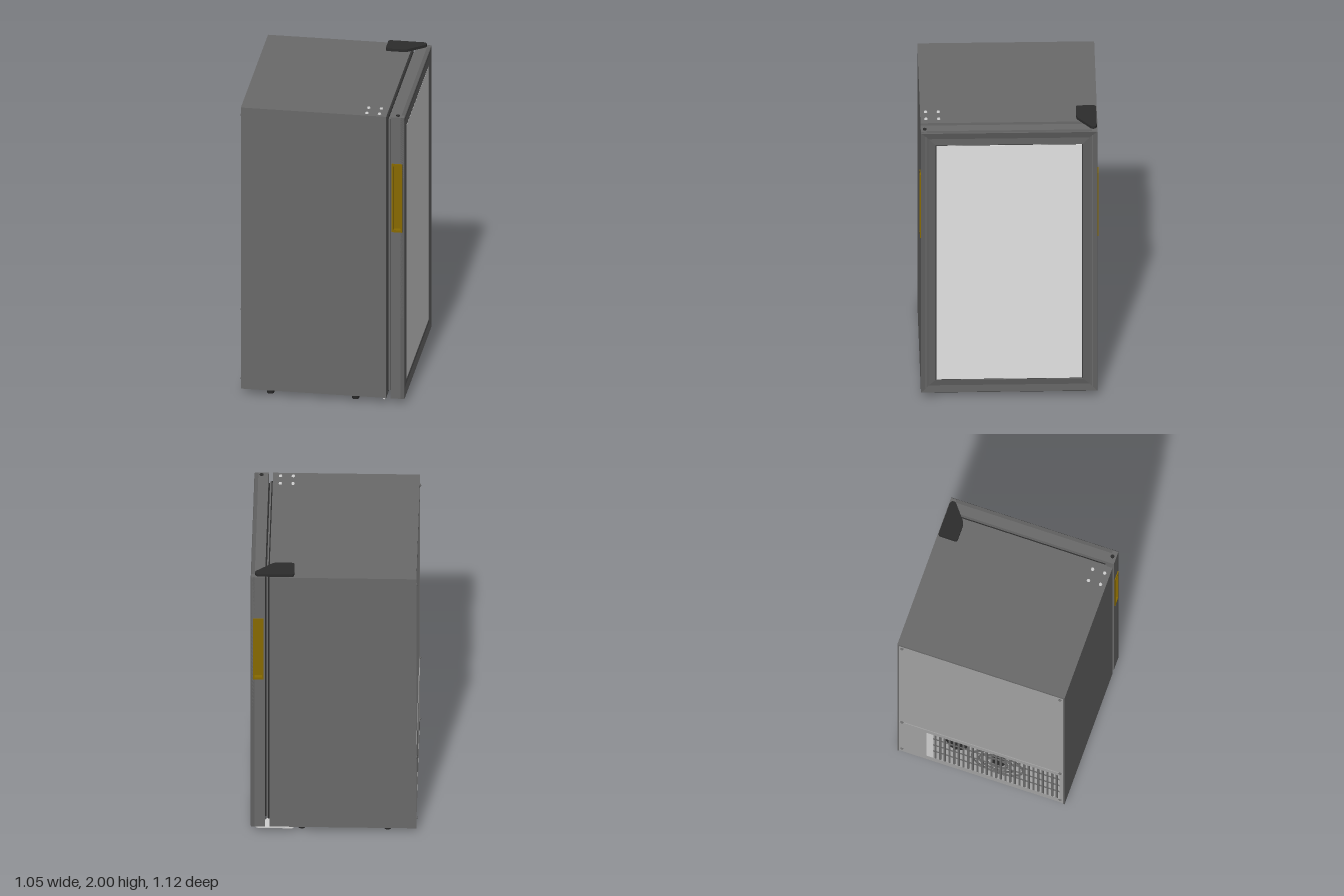
import * as THREE from 'three';

const mat = (name, color) => {
  const m = new THREE.MeshStandardMaterial({ color });
  m.name = name;
  return m;
};

export function createModel() {
  const root = new THREE.Group();
  root.name = 'displayFridge';
  const grey = mat('cabinet grey', 0x6a6a6a);
  const frameGrey = mat('door frame grey', 0x606060);
  const zinc = mat('zinc sheet', 0xa2a2a2);
  const glass = mat('pale glass', 0xe4e4e4);
  const gold = mat('handle gold', 0x886a00);
  const black = mat('black plastic', 0x2c2c2c);
  const dark = mat('dark machinery', 0x3c3c3c);
  const steel = mat('light steel', 0xd0d0d0);

  const add = (name, geo, m, x = 0, y = 0, z = 0, parent = root) => {
    const mesh = new THREE.Mesh(geo, m);
    mesh.name = name;
    mesh.position.set(x, y, z);
    parent.add(mesh);
    return mesh;
  };
  // box given by its limits on each axis
  const box = (name, m, x0, x1, y0, y1, z0, z1, parent = root) =>
    add(name, new THREE.BoxGeometry(x1 - x0, y1 - y0, z1 - z0), m,
      (x0 + x1) / 2, (y0 + y1) / 2, (z0 + z1) / 2, parent);
  const rect = (x0, x1, y0, y1, Type = THREE.Shape) =>
    new Type([[x0, y0], [x1, y0], [x1, y1], [x0, y1]].map(p => new THREE.Vector2(...p)));
  const extrude = (shape, depth) =>
    new THREE.ExtrudeGeometry(shape, { depth, bevelEnabled: false, curveSegments: 6 });

  // Cabinet core, with a compressor bay cut out at the lower back
  const profile = new THREE.Shape([[-0.04, 0.06], [0.408, 0.06], [0.408, 1.98], [-0.515, 1.98],
    [-0.515, 1.96], [-0.505, 1.96], [-0.505, 0.58], [-0.16, 0.58], [-0.16, 0.1]]
    .map(p => new THREE.Vector2(...p)));
  add('cabinet', extrude(profile, 1.09), grey, 0, 0, -0.545);
  for (const s of [-1, 1]) {
    box('sidePanel', grey, -0.515, 0.408, 0.04, 1.98, s > 0 ? 0.545 : -0.555, s > 0 ? 0.555 : -0.545);
  }
  box('backPanel', zinc, -0.511, -0.505, 0.58, 1.96, -0.545, 0.545);

  // Underside
  box('basePlate', grey, -0.04, 0.4, 0.052, 0.06, -0.545, 0.545);
  box('frontSill', grey, 0.4, 0.408, 0.04, 0.06, -0.545, 0.545);
  box('sillBar', steel, 0.385, 0.4, 0.026, 0.052, -0.545, 0.545);
  box('baseStep', steel, -0.16, -0.04, 0.054, 0.062, -0.545, 0.545);
  box('bayFloor', zinc, -0.5, -0.16, 0.05, 0.06, -0.545, 0.545);
  for (const x of [-0.44, -0.5]) box('baseRail', steel, x, x + 0.028, 0.04, 0.05, -0.545, 0.545);

  // Feet with small mounting flanges
  for (const x of [-0.335, 0.205]) for (const z of [-0.495, 0.495]) {
    const foot = new THREE.Group();
    foot.name = 'foot';
    foot.position.set(x, 0, z);
    root.add(foot);
    add('footPad', new THREE.CylinderGeometry(0.027, 0.022, 0.03, 16), black, 0, 0.015, 0, foot);
    add('footStem', new THREE.CylinderGeometry(0.012, 0.012, 0.03, 10), black, 0, 0.04, 0, foot);
    if (x < 0) box('footFlange', steel, -0.075, 0.075, 0.032, 0.037, -0.02, 0.02, foot);
  }

  // Vent grille on the back, with machinery behind it
  const vent = new THREE.Group();
  vent.name = 'ventGrille';
  root.add(vent);
  box('bayLining', dark, -0.17, -0.162, 0.06, 0.58, -0.545, 0.545, vent);
  box('ventTopRail', zinc, -0.514, -0.505, 0.53, 0.575, -0.545, 0.545, vent);
  box('ventBottomRail', zinc, -0.514, -0.505, 0.05, 0.11, -0.545, 0.545, vent);
  box('ventBlankPanel', zinc, -0.514, -0.505, 0.11, 0.53, -0.545, -0.36, vent);
  box('ventBrightEdge', steel, -0.514, -0.505, 0.11, 0.53, -0.36, -0.32, vent);
  box('ventEndPanel', zinc, -0.514, -0.505, 0.11, 0.53, 0.52, 0.545, vent);
  for (let i = 0; i < 27; i++) {
    const z = -0.31 + i * 0.031;
    box('ventSlat', grey, -0.513, -0.506, 0.11, 0.53, z, z + 0.013, vent);
  }
  for (const y of [0.21, 0.32, 0.43]) box('ventCrossbar', grey, -0.508, -0.503, y, y + 0.012, -0.32, 0.52, vent);
  for (const r of [0.07, 0.12, 0.17]) {
    add('fanGuardRing', new THREE.TorusGeometry(r, 0.006, 6, 28), grey, -0.49, 0.32, 0.1, vent)
      .rotation.y = Math.PI / 2;
  }
  add('fanHub', new THREE.CylinderGeometry(0.045, 0.045, 0.05, 20), black, -0.46, 0.32, 0.1, vent)
    .rotation.z = Math.PI / 2;
  add('compressor', new THREE.CapsuleGeometry(0.1, 0.14, 6, 18), black, -0.33, 0.24, -0.2, vent);

  // Screws on the back
  for (const y of [0.1, 0.575, 1.92]) for (const z of [-0.525, 0.525]) {
    add('backScrew', new THREE.SphereGeometry(0.01, 10, 6), grey, -0.513, y, z);
  }

  // Caps over the spare hinge holes on top
  for (const x of [0.28, 0.36]) for (const z of [0.44, 0.52]) {
    add('holeCap', new THREE.CylinderGeometry(0.009, 0.012, 0.008, 12), steel, x, 1.983, z);
  }
  add('doorPlug', new THREE.CylinderGeometry(0.012, 0.012, 0.008, 12), black, 0.48, 1.982, 0.53);

  // Hinge plates above and below, at the pivot side
  const hinge = new THREE.Shape();
  hinge.moveTo(0.27, 0.55);
  hinge.lineTo(0.475, 0.55);
  hinge.quadraticCurveTo(0.505, 0.545, 0.495, 0.515);
  hinge.lineTo(0.39, 0.43);
  hinge.quadraticCurveTo(0.375, 0.423, 0.36, 0.423);
  hinge.lineTo(0.27, 0.423);
  hinge.quadraticCurveTo(0.252, 0.423, 0.252, 0.44);
  hinge.lineTo(0.252, 0.53);
  hinge.quadraticCurveTo(0.252, 0.55, 0.27, 0.55);
  add('topHinge', extrude(hinge, 0.018), black, 0, 1.982, 0).rotation.x = -Math.PI / 2;
  add('bottomHinge', extrude(hinge, 0.008), steel, 0, 0.024, 0).rotation.x = -Math.PI / 2;
  add('hingePin', new THREE.CylinderGeometry(0.012, 0.012, 0.03, 12), steel, 0.47, 0.035, -0.52);

  // Door seal
  box('doorSeal', black, 0.408, 0.416, 0.07, 1.95, -0.51, 0.51);
  box('doorSealLip', grey, 0.416, 0.426, 0.075, 1.945, -0.51, 0.51);
  box('doorSealCore', black, 0.426, 0.437, 0.08, 1.94, -0.5, 0.5);

  // Door core, and side plates pierced for the handles
  const door = new THREE.Group();
  door.name = 'door';
  root.add(door);
  box('doorCore', grey, 0.435, 0.5, 0.04, 1.98, -0.52, 0.52, door);
  for (const s of [-1, 1]) {
    const plate = rect(0.435, 0.52, 0.04, 1.98);
    plate.holes.push(rect(0.452, 0.504, 1.2, 1.65, THREE.Path));
    add('doorSide', extrude(plate, 0.035), grey, 0, 0, s > 0 ? 0.52 : -0.555, door);
    const flange = rect(0.444, 0.51, 1.19, 1.66);
    flange.holes.push(rect(0.455, 0.5, 1.205, 1.645, THREE.Path));
    add('handleRim', extrude(flange, 0.03), gold, 0, 0, s > 0 ? 0.531 : -0.561, door);
    box('handlePocket', gold, 0.452, 0.504, 1.2, 1.65, s > 0 ? 0.521 : -0.535, s > 0 ? 0.535 : -0.521, door);
  }

  // Mitred, slightly dished frame: loops of half width, half height and x
  const loops = [[0.555, 0.97, 0.5], [0.555, 0.97, 0.522], [0.551, 0.966, 0.525],
    [0.505, 0.92, 0.516], [0.462, 0.877, 0.522], [0.46, 0.875, 0.51]];
  const corner = ([w, h, x], i) => [x, 1.01 + h * [-1, -1, 1, 1][i % 4], w * [1, -1, -1, 1][i % 4]];
  const pos = [];
  for (let k = 0; k < loops.length - 1; k++) for (let i = 0; i < 4; i++) {
    const a = corner(loops[k], i), b = corner(loops[k], i + 1);
    const c = corner(loops[k + 1], i + 1), d = corner(loops[k + 1], i);
    pos.push(...a, ...b, ...c, ...a, ...c, ...d);
  }
  const frame = new THREE.BufferGeometry();
  frame.setAttribute('position', new THREE.Float32BufferAttribute(pos, 3));
  frame.computeVertexNormals();
  add('doorFrame', frame, frameGrey, 0, 0, 0, door);

  // Glass with a thin black border
  box('glassBorder', black, 0.499, 0.519, 0.135, 1.885, -0.46, 0.46, door);
  box('glassPane', glass, 0.5, 0.521, 0.138, 1.882, -0.457, 0.457, door);

  return root;
}
